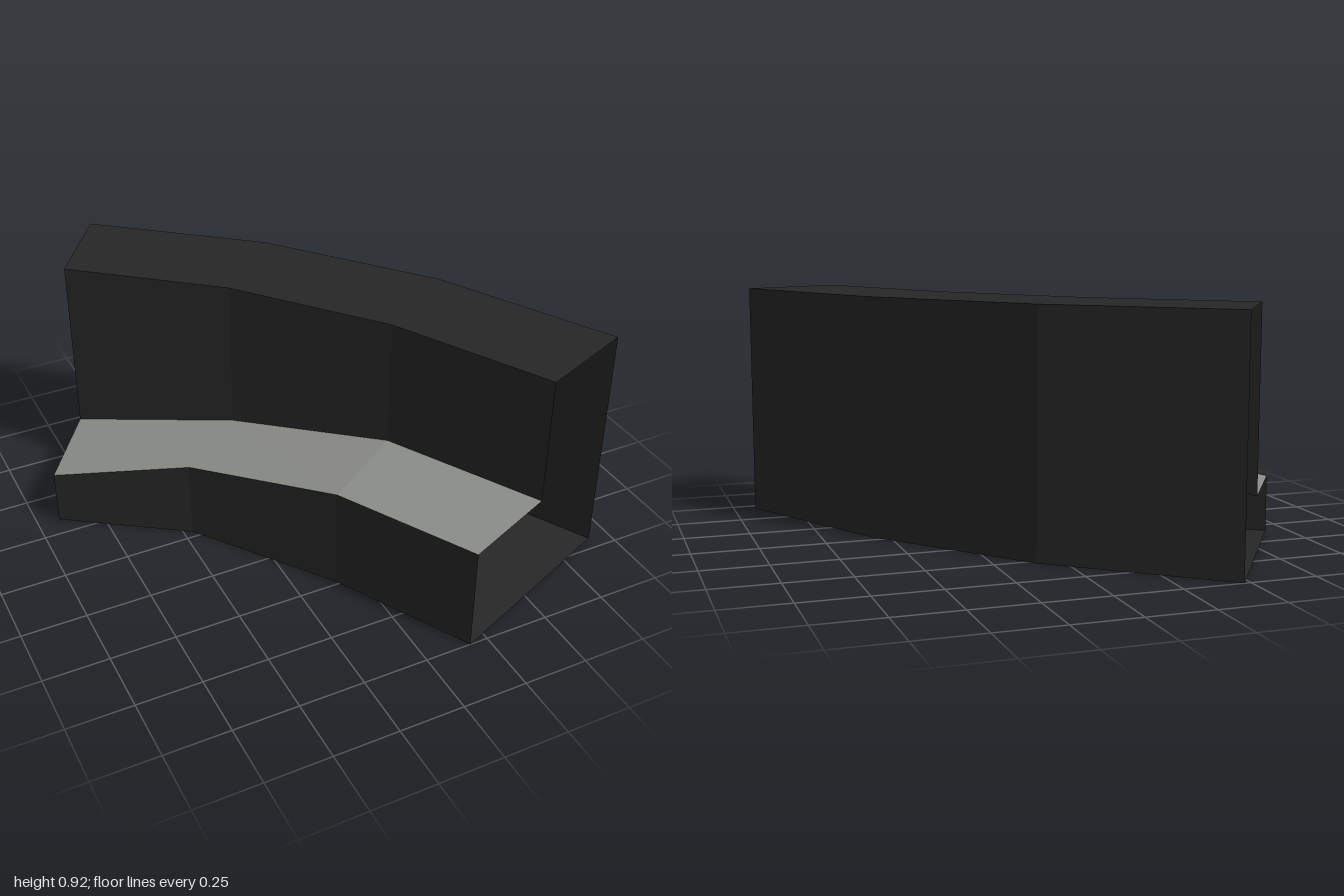
import * as THREE from 'three';

const HEIGHT = 0.92;

// Stations along the curved bench: plan points [x, z] and seat height
const STATIONS = [
  { outer: [-0.475, -1.0], mid: [-0.695, -0.67], inner: [-0.915, -0.34], seat: 0.218 },
  { outer: [0.10, -0.53], mid: [-0.185, -0.25], inner: [-0.465, -0.03], seat: 0.315 },
  { outer: [0.565, 0.04], mid: [0.235, 0.265], inner: [-0.095, 0.485], seat: 0.41 },
  { outer: [0.915, 0.695], mid: [0.545, 0.845], inner: [0.18, 1.0], seat: 0.414 },
];

const at = ([x, z], y) => [x, y, z];

// Cross-section corners of one station, going round from the outer foot
const section = (s) => [
  at(s.outer, 0), at(s.outer, HEIGHT), at(s.mid, HEIGHT),
  at(s.mid, s.seat), at(s.inner, s.seat), at(s.inner, 0),
];

// Flat-shaded strip between two neighbouring corners of the cross-section
function strip(name, corner, material) {
  const loops = STATIONS.map(section);
  const next = (corner + 1) % 6;
  const positions = [];
  for (let i = 0; i < loops.length - 1; i++) {
    const a = loops[i][corner], d = loops[i][next];
    const b = loops[i + 1][corner], c = loops[i + 1][next];
    positions.push(...a, ...d, ...c, ...a, ...c, ...b);
  }
  const geometry = new THREE.BufferGeometry();
  geometry.setAttribute('position', new THREE.Float32BufferAttribute(positions, 3));
  geometry.computeVertexNormals();
  const mesh = new THREE.Mesh(geometry, material);
  mesh.name = name;
  return mesh;
}

export function createModel() {
  const dark = new THREE.MeshStandardMaterial({ color: 0x272727, side: THREE.DoubleSide, flatShading: true });
  dark.name = 'charcoal';
  const grey = new THREE.MeshStandardMaterial({ color: 0x8b8d88, side: THREE.DoubleSide, flatShading: true });
  grey.name = 'stone grey';

  // Hollow shell, open at both ends
  const group = new THREE.Group();
  group.name = 'curvedStep';
  const parts = [
    ['outerWall', dark], ['wallTop', dark], ['innerWall', dark],
    ['stepTop', grey], ['stepFront', dark], ['underside', dark],
  ];
  parts.forEach(([name, material], i) => group.add(strip(name, i, material)));
  return group;
}
